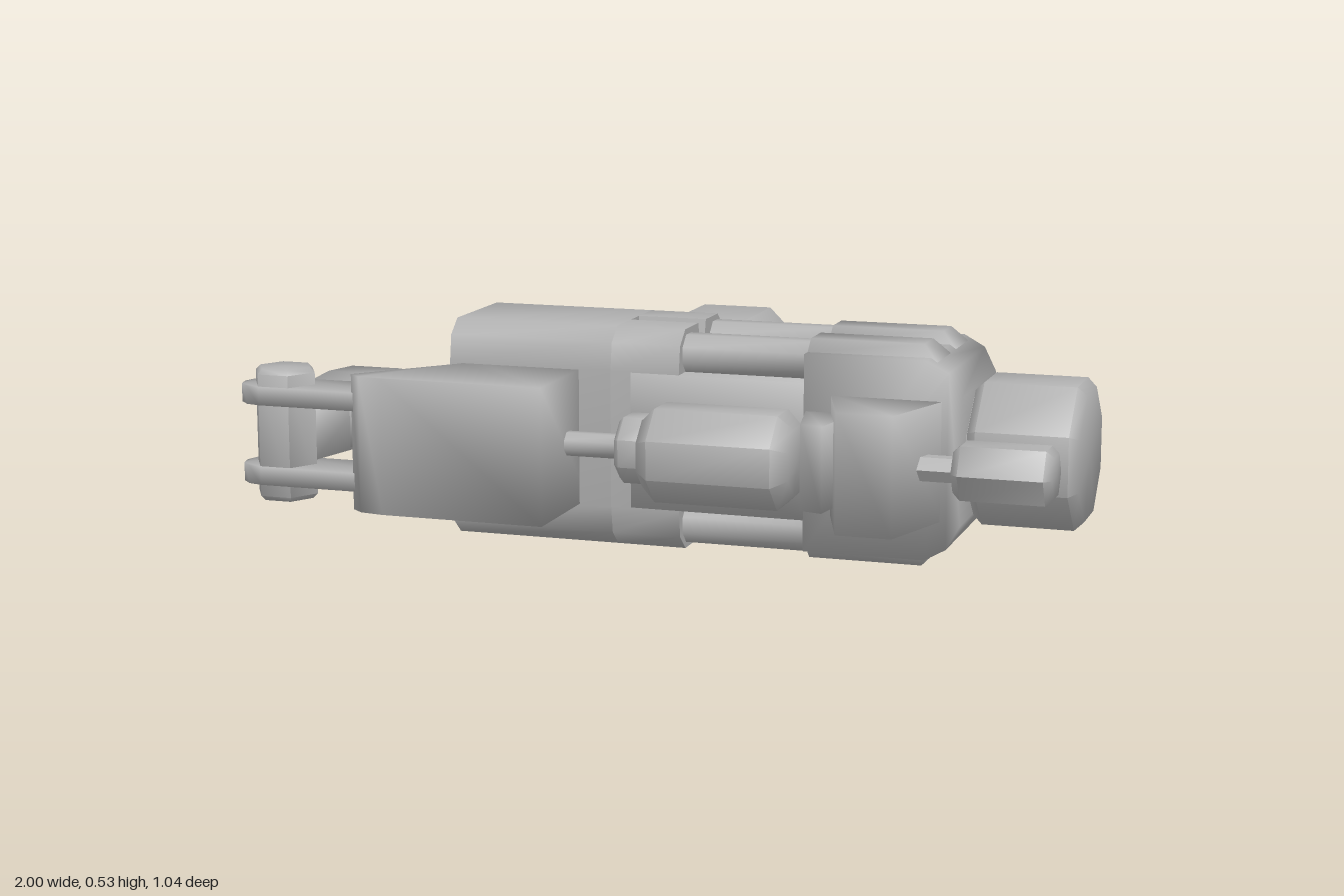
import * as THREE from 'three';
import { toCreasedNormals } from 'three/addons/utils/BufferGeometryUtils.js';
import { ConvexGeometry } from 'three/addons/geometries/ConvexGeometry.js';

const MID = 0.265; // height of the horizontal symmetry plane
const SOFT = 1.7; // crease angle for cast parts, shaded smoothly round their corners
const CRISP = 0.9; // crease angle for turned parts

export function createModel() {
  const model = new THREE.Group();
  model.name = 'mechanicalModule';
  const grey = new THREE.MeshStandardMaterial({ color: 0xb0b0b0 });
  grey.name = 'grey';

  const add = (name, geometry, crease) => {
    const mesh = new THREE.Mesh(toCreasedNormals(geometry, crease), grey);
    mesh.name = name;
    model.add(mesh);
  };
  const shapeOf = (pts) => new THREE.Shape(pts.map((p) => new THREE.Vector2(p[0], p[1])));

  // Plan outline [x, z] raised symmetrically about a height
  const slab = (name, pts, half, y = MID) => {
    const g = new THREE.ExtrudeGeometry(shapeOf(pts.map(([x, z]) => [x, -z])), { depth: 2 * half, bevelEnabled: false });
    add(name, g.rotateX(-Math.PI / 2).translate(0, y - half, 0), SOFT);
  };
  // Section [z, y] run along x
  const beam = (name, pts, x0, x1) => {
    const g = new THREE.ExtrudeGeometry(shapeOf(pts.map(([z, y]) => [-z, y])), { depth: x1 - x0, bevelEnabled: false });
    add(name, g.rotateY(Math.PI / 2).translate(x0, 0, 0), CRISP);
  };
  // Convex solid from corners [x, z, halfHeight]
  const hull = (name, pts) => add(name, new ConvexGeometry(
    pts.flatMap(([x, z, h]) => [new THREE.Vector3(x, MID + h, z), new THREE.Vector3(x, MID - h, z)])), SOFT);
  // Faceted drum from a profile [radius, position along its axis]
  const drum = (name, profile, sides, axis, at, turn = 0) => {
    const g = new THREE.LatheGeometry(profile.map((p) => new THREE.Vector2(p[0], p[1])), sides, turn);
    if (axis === 'x') g.rotateZ(-Math.PI / 2);
    if (axis === 'z') g.rotateX(Math.PI / 2);
    add(name, g.translate(...at), CRISP);
  };
  const capped = (r, a, b, c = 0) => c
    ? [[0, a], [r - c, a], [r, a + c], [r, b - c], [r - c, b], [0, b]]
    : [[0, a], [r, a], [r, b], [0, b]];

  // Central body plate with its rounded rear lobe
  slab('centralBody', [[-0.5, 0.26], [-0.5, -0.1], [-0.48, -0.2], [-0.43, -0.29], [-0.36, -0.345], [-0.355, -0.18],
    [0.12, -0.17], [0.18, -0.31], [0.3, -0.305], [0.45, -0.275], [0.58, -0.205], [0.7, -0.11], [0.7, 0.2], [0.36, 0.27]], 0.163);
  slab('rearLobePlate', [[-0.345, -0.355], [-0.265, -0.375], [-0.265, -0.17], [-0.345, -0.17]], 0.15);
  hull('rearFin', [[0.2, -0.36, 0.06], [0.2, -0.25, 0.075], [0.45, -0.295, 0.06], [0.45, -0.25, 0.075]]);

  // Front shoulder
  slab('frontShoulder', [[-0.5, 0.2], [-0.5, 0.27], [-0.69, 0.485], [-0.66, 0.51], [-0.6, 0.52], [-0.2, 0.52], [-0.2, 0.2]], 0.163);

  // Long housing, slotted at its inner end
  const housing = [[-0.1, 0.43], [-0.08, 0.495], [-0.04, 0.53], [0.215, 0.53], [0.255, 0.495], [0.265, 0.43]];
  const slotted = [...housing.slice(0, 3), [0.055, 0.53], [0.065, 0.49], [0.105, 0.49], [0.115, 0.53], ...housing.slice(3)];
  const mirrorY = (pts) => [...pts, ...pts.map(([z, y]) => [z, 2 * MID - y]).reverse()];
  beam('housing', mirrorY(housing), -0.53, -0.12);
  beam('slottedHousing', mirrorY(slotted), -0.12, 0.05);

  // Rods joining the housing to the end block
  for (const y of [MID - 0.205, MID + 0.205])
    for (const z of [-0.02, 0.19])
      drum('connectingRod', capped(0.05, 0, 0.36), 8, 'x', [0.03, y, z], Math.PI / 8);

  // End block with rounded outer edge and paired ridges
  const block = [];
  for (const [x, h, inset] of [[0.36, 0.233, 0], [0.65, 0.233, 0], [0.7, 0.205, 0], [0.73, 0.15, 0.01]])
    block.push([x, -0.11 + inset, h], [x, 0.285 - inset, h]);
  hull('endBlock', block);
  for (const [a, b] of [[-0.08, 0.06], [0.11, 0.255]]) {
    hull('blockRidge', [[0.36, a, 0.233], [0.36, b, 0.233], [0.36, a + 0.03, 0.261], [0.36, b - 0.03, 0.261],
      [0.63, a + 0.03, 0.261], [0.63, b - 0.03, 0.261], [0.67, a, 0.22], [0.67, b, 0.22]]);
  }

  // Front brackets on the end block
  slab('narrowBracket', [[0.36, 0.26], [0.395, 0.44], [0.45, 0.455], [0.48, 0.26]], 0.1);
  slab('wideBracket', [[0.42, 0.27], [0.49, 0.485], [0.62, 0.485], [0.69, 0.27]], 0.14);

  // Octagonal drums
  const turn = Math.PI / 8;
  const k = 1 / Math.cos(turn);
  drum('rearDrum', capped(0.215 * k, -0.52, -0.17, 0.035), 8, 'z', [-0.035, MID, 0], turn);
  drum('endDrum', capped(0.168 * k, 0.735, 0.995, 0.022), 8, 'x', [0, MID, 0.09], turn);
  drum('endDrumNeck', capped(0.14, 0.7, 0.76), 8, 'x', [0, MID, 0.09], turn);

  // Front piston
  drum('pistonRod', capped(0.03, -0.22, -0.04), 8, 'x', [0, MID, 0.34], turn);
  drum('pistonCollar', capped(0.078 * k, -0.06, 0.03, 0.012), 8, 'x', [0, MID, 0.345], turn);
  drum('pistonBody', capped(0.11 * k, 0.005, 0.37, 0.035), 8, 'x', [0, MID, 0.37], turn);

  // Small front nozzle
  drum('nozzleNeck', capped(0.032, 0.6, 0.76), 6, 'x', [0, MID, 0.355]);
  drum('nozzle', capped(0.072, 0.735, 0.965, 0.018), 6, 'x', [0, MID, 0.355]);

  // Hinge arms, rounded at the outer end
  const arm = [[-0.5, 0.35], [-0.5, 0.49]];
  for (let i = 0; i <= 6; i++) {
    const a = Math.PI / 2 + (i * Math.PI) / 6;
    arm.push([-0.93 + 0.07 * Math.cos(a), 0.42 + 0.07 * Math.sin(a)]);
  }
  for (const y of [MID - 0.097, MID + 0.097]) slab('hingeArm', arm, 0.022, y);
  drum('hingePin', capped(0.078, -0.16, 0.16, 0.012), 6, 'y', [-0.895, MID, 0.415], Math.PI / 2);

  // Swinging claw with its tip and tooth
  hull('claw', [[-0.95, -0.08, 0.075], [-0.81, -0.08, 0.075], [-0.95, 0.06, 0.085], [-0.8, 0.06, 0.085],
    [-0.94, 0.4, 0.07], [-0.83, 0.4, 0.07]]);
  hull('clawTip', [[-0.85, -0.08, 0.07], [-0.75, -0.08, 0.06], [-0.74, -0.04, 0.06], [-0.85, -0.03, 0.07]]);
  hull('clawTooth', [[-0.85, 0.03, 0.07], [-0.8, 0.04, 0.07], [-0.76, 0.07, 0.05], [-0.765, 0.17, 0.05],
    [-0.81, 0.23, 0.07], [-0.86, 0.23, 0.07]]);

  return model;
}
